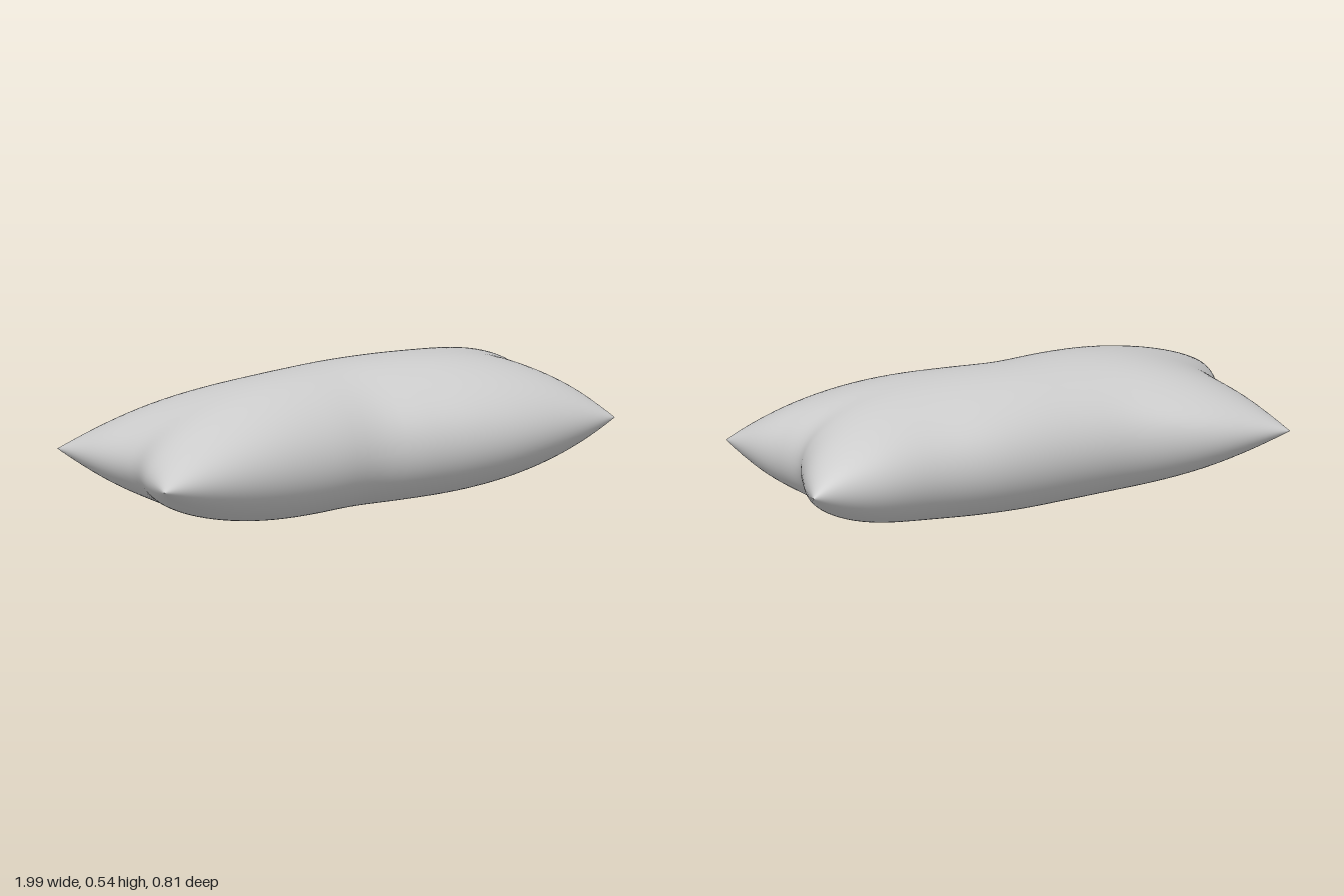
import * as THREE from 'three';
import { mergeVertices } from 'three/addons/utils/BufferGeometryUtils.js';

const N = 56; // grid cells per side of each cushion face

// Seam line in plan, from [x, z] points
const seam = (points) =>
  new THREE.CatmullRomCurve3(points.map(([x, z]) => new THREE.Vector3(x, 0, z)), false, 'centripetal');

const back = seam([[-0.96, -0.41], [-0.7, -0.4], [-0.35, -0.345], [-0.18, -0.345], [0.2, -0.373], [0.45, -0.37], [0.7, -0.39], [0.99, -0.372]]);
const front = seam([[-0.997, 0.403], [-0.8, 0.4], [-0.5, 0.38], [-0.2, 0.345], [0.01, 0.317], [0.2, 0.35], [0.42, 0.385], [0.62, 0.395], [0.99, 0.357]]);
const left = seam([[-0.96, -0.41], [-0.93, -0.22], [-0.893, -0.05], [-0.893, 0.03], [-0.95, 0.2], [-0.997, 0.403]]);
const right = seam([[0.99, -0.372], [0.95, -0.22], [0.9, -0.09], [0.872, -0.01], [0.9, 0.08], [0.95, 0.2], [0.99, 0.357]]);

// Plan position: the four seams blended across the face, a and b in 0..1
function planPoint(a, b) {
  const p = new THREE.Vector3();
  p.addScaledVector(back.getPointAt(a), 1 - b).addScaledVector(front.getPointAt(a), b);
  p.addScaledVector(left.getPointAt(b), 1 - a).addScaledVector(right.getPointAt(b), a);
  p.addScaledVector(back.getPointAt(0), -(1 - a) * (1 - b)).addScaledVector(back.getPointAt(1), -a * (1 - b));
  p.addScaledVector(front.getPointAt(0), -(1 - a) * b).addScaledVector(front.getPointAt(1), -a * b);
  return p;
}

function cushionGeometry() {
  const positions = [];
  const index = [];
  // Rows crowd towards the seam so that its edge stays round
  const spread = (i) => (i === 0 ? -1 : i === N ? 1 : Math.sin((i / N - 0.5) * Math.PI));

  for (const side of [1, -1]) {
    const start = positions.length / 3;
    for (let j = 0; j <= N; j++) {
      for (let i = 0; i <= N; i++) {
        const u = spread(i), v = spread(j);
        const p = planPoint((u + 1) / 2, (v + 1) / 2);
        // The filling is blunter towards the right end
        const swell = Math.sqrt(1 - Math.abs(u) ** (3.1 + 0.7 * u)) * Math.sqrt(1 - v * v);
        // The seam climbs to the right and sags along the front
        const seamY = 0.27 + 0.015 * u - 0.02 * (1 - u * u) * Math.max(v, 0) ** 2;
        positions.push(p.x, seamY + side * 0.268 * swell, p.z);
      }
    }
    for (let j = 0; j < N; j++) {
      for (let i = 0; i < N; i++) {
        const a = start + j * (N + 1) + i, b = a + 1, c = a + N + 1, d = c + 1;
        if (side > 0) index.push(a, c, b, b, c, d);
        else index.push(a, b, c, b, d, c);
      }
    }
  }
  let geometry = new THREE.BufferGeometry();
  geometry.setAttribute('position', new THREE.Float32BufferAttribute(positions, 3));
  geometry.setIndex(index);
  // Join both faces along the seam for smooth shading
  geometry = mergeVertices(geometry, 1e-5);
  geometry.computeVertexNormals();
  return geometry;
}

export function createModel() {
  const group = new THREE.Group();
  group.name = 'pillow';
  const cushion = new THREE.Mesh(cushionGeometry(), new THREE.MeshStandardMaterial({ color: 0xcccccc }));
  cushion.name = 'cushion';
  group.add(cushion);
  return group;
}
